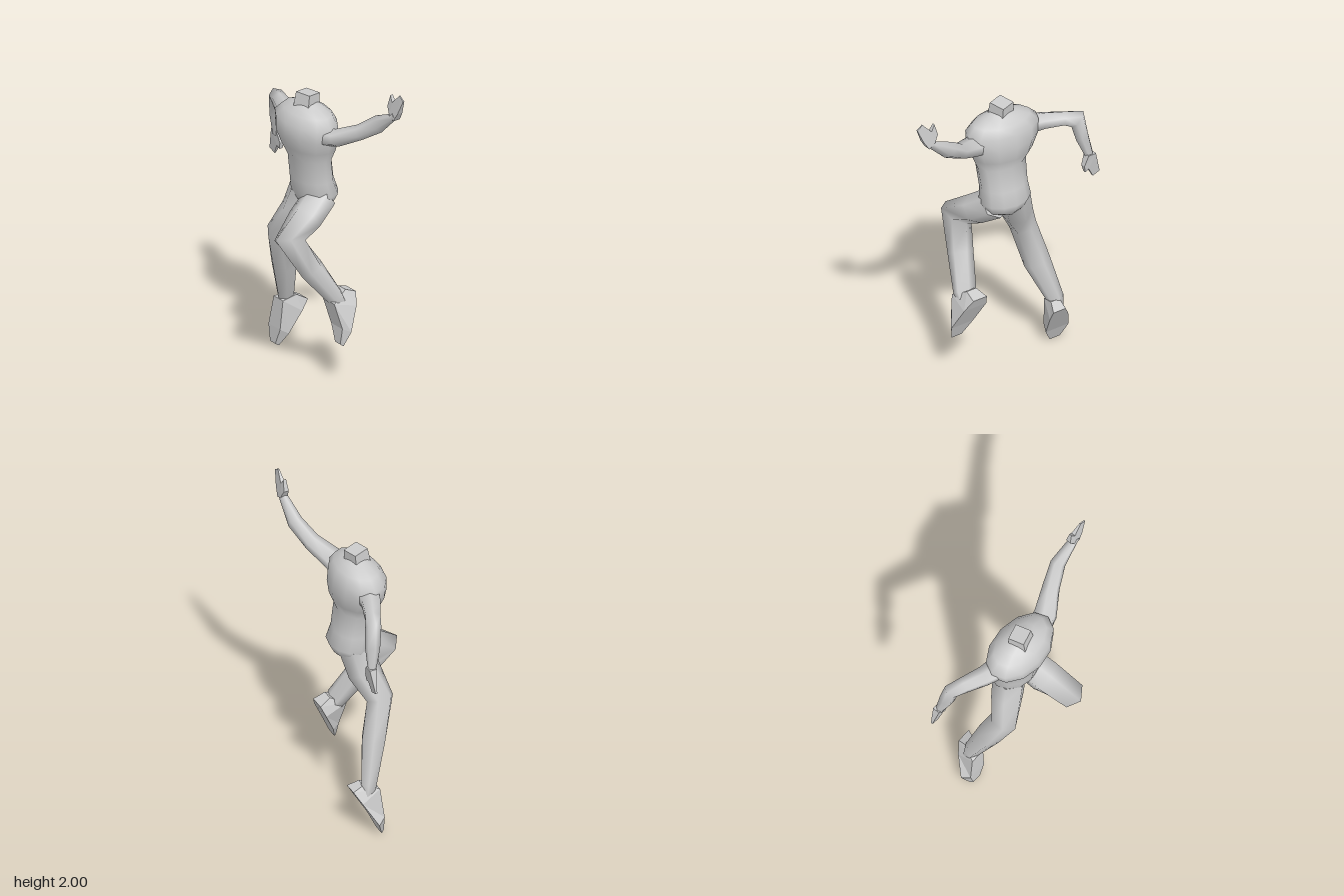
import * as THREE from 'three';

const V = (p) => new THREE.Vector3(...p);
const smooth = new THREE.MeshStandardMaterial({ color: 0xcccccc });
const faceted = new THREE.MeshStandardMaterial({ color: 0xcccccc, flatShading: true });

// Skin a list of rings (arrays of Vector3) and cap both ends
function loft(rings) {
  const n = rings[0].length, pos = [], idx = [];
  const push = (p) => pos.push(p.x, p.y, p.z) / 3 - 1;
  rings.forEach((r) => r.forEach(push));
  for (let i = 0; i < rings.length - 1; i++) {
    for (let j = 0; j < n; j++) {
      const a = i * n + j, b = i * n + (j + 1) % n;
      idx.push(a, b, a + n, b, b + n, a + n);
    }
  }
  [rings[0], rings[rings.length - 1]].forEach((r, end) => {
    const k = r.map(push);
    for (let j = 1; j < n - 1; j++) {
      if (end) idx.push(k[0], k[j], k[j + 1]);
      else idx.push(k[0], k[j + 1], k[j]);
    }
  });
  // Turn the faces outward if the enclosed volume is negative
  const at = (i) => new THREE.Vector3().fromArray(pos, i * 3);
  let volume = 0;
  for (let i = 0; i < idx.length; i += 3) {
    volume += at(idx[i]).dot(at(idx[i + 1]).cross(at(idx[i + 2])));
  }
  if (volume < 0) idx.reverse();
  const g = new THREE.BufferGeometry();
  g.setAttribute('position', new THREE.Float32BufferAttribute(pos, 3));
  g.setIndex(idx);
  g.computeVertexNormals();
  return g;
}

// Six-sided limb along stations [x, y, z, half size along ref, half size across]
function limb(stations, ref) {
  const c = stations.map(V3 => V(V3.slice(0, 3)));
  return loft(stations.map(([, , , hs, hd], i) => {
    const t = new THREE.Vector3();
    if (i > 0) t.add(c[i].clone().sub(c[i - 1]).normalize());
    if (i < c.length - 1) t.add(c[i + 1].clone().sub(c[i]).normalize());
    t.normalize();
    const s = ref.clone().addScaledVector(t, -ref.dot(t)).normalize();
    const d = t.clone().cross(s);
    return Array.from({ length: 6 }, (_, j) => {
      const a = (j / 6) * Math.PI * 2;
      return c[i].clone().addScaledVector(d, hd * Math.cos(a)).addScaledVector(s, hs * Math.sin(a) / 0.866);
    });
  }));
}

// Foot from heel to toe: [sole point, top point, half width]
function foot(sections) {
  return loft(sections.map(([sole, top, w]) => [[sole, w], [top, w * 0.7], [top, -w * 0.7], [sole, -w]]
    .map(([p, dx]) => V([p[0] + dx, p[1], p[2]]))));
}

// Flat mitten with thumb, thinning from the wrist to the fingertips
function hand(outline, z, wrist) {
  const g = new THREE.ExtrudeGeometry(new THREE.Shape(outline.map((p) => new THREE.Vector2(...p))),
    { depth: 1, bevelEnabled: false });
  const p = g.attributes.position;
  for (let i = 0; i < p.count; i++) {
    const far = Math.hypot(p.getX(i) - wrist[0], p.getY(i) - wrist[1]);
    p.setZ(i, z + (p.getZ(i) - 0.5) * Math.max(0.008, 0.055 - 0.27 * far));
  }
  g.computeVertexNormals();
  return g;
}

export function createModel() {
  const group = new THREE.Group();
  const add = (name, geometry, material = smooth) => {
    const m = new THREE.Mesh(geometry, material);
    m.name = name;
    group.add(m);
    return m;
  };
  const X = new THREE.Vector3(1, 0, 0), Z = new THREE.Vector3(0, 0, 1);

  // Torso sections: y, right edge, left edge, back, front
  const torso = [
    [1.07, -0.12, -0.02, -0.2, -0.06],
    [1.1, -0.21, 0.07, -0.225, -0.02],
    [1.16, -0.24, 0.1, -0.255, 0.005],
    [1.25, -0.23, 0.085, -0.225, 0.015],
    [1.4, -0.235, 0.1, -0.2, 0.03],
    [1.47, -0.28, 0.13, -0.23, 0.06],
    [1.555, -0.325, 0.16, -0.24, 0.085],
    [1.64, -0.335, 0.165, -0.23, 0.08],
    [1.695, -0.275, 0.12, -0.2, 0.04],
    [1.725, -0.2, 0.04, -0.16, 0],
    [1.745, -0.14, -0.01, -0.13, -0.025],
  ];
  add('torso', loft(torso.map(([y, x0, x1, z0, z1]) => Array.from({ length: 12 }, (_, j) => {
    const a = (j / 12) * Math.PI * 2;
    return V([(x0 + x1) / 2 + (x1 - x0) / 2 * Math.sin(a), y, (z0 + z1) / 2 + (z1 - z0) / 2 * Math.cos(a)]);
  }))));

  // Square neck stump
  const neck = add('neck', new THREE.CylinderGeometry(0.072, 0.082, 0.12, 4), faceted);
  neck.position.set(-0.078, 1.745, -0.075);
  neck.rotation.set(-0.12, Math.PI / 4 + 0.29, 0);

  // Legs
  add('leftLeg', limb([
    [0.0, 1.14, -0.12, 0.09, 0.1],
    [0.035, 1.04, 0.02, 0.095, 0.095],
    [0.08, 0.95, 0.165, 0.082, 0.11],
    [0.135, 0.75, 0.045, 0.068, 0.078],
    [0.195, 0.56, -0.08, 0.065, 0.055],
    [0.205, 0.5, -0.115, 0.05, 0.04],
  ], X));
  add('rightLeg', limb([
    [-0.14, 1.14, -0.11, 0.09, 0.11],
    [-0.19, 0.99, -0.08, 0.085, 0.105],
    [-0.28, 0.83, -0.02, 0.07, 0.087],
    [-0.335, 0.58, -0.09, 0.073, 0.078],
    [-0.415, 0.33, -0.16, 0.048, 0.052],
    [-0.42, 0.25, -0.175, 0.04, 0.035],
  ], X));

  // Feet, toes pointing down
  add('leftFoot', foot([
    [[0.18, 0.57, -0.215], [0.19, 0.6, -0.14], 0.05],
    [[0.195, 0.5, -0.185], [0.2, 0.54, -0.035], 0.083],
    [[0.24, 0.36, -0.115], [0.235, 0.38, -0.07], 0.082],
    [[0.255, 0.265, -0.078], [0.25, 0.275, -0.065], 0.037],
  ]), faceted);
  add('rightFoot', foot([
    [[-0.375, 0.3, -0.265], [-0.39, 0.335, -0.2], 0.045],
    [[-0.4, 0.23, -0.225], [-0.42, 0.31, -0.11], 0.068],
    [[-0.445, 0.09, -0.145], [-0.44, 0.12, -0.095], 0.085],
    [[-0.452, 0.002, -0.11], [-0.45, 0.015, -0.09], 0.038],
  ]), faceted);

  // Arms
  add('leftArm', limb([
    [0.1, 1.575, -0.09, 0.07, 0.06],
    [0.18, 1.59, -0.11, 0.065, 0.055],
    [0.31, 1.655, -0.185, 0.048, 0.048],
    [0.43, 1.74, -0.238, 0.04, 0.054],
    [0.57, 1.835, -0.245, 0.025, 0.023],
    [0.595, 1.86, -0.245, 0.022, 0.023],
  ], Z));
  add('rightArm', limb([
    [-0.26, 1.585, -0.09, 0.065, 0.06],
    [-0.36, 1.585, -0.115, 0.055, 0.052],
    [-0.48, 1.58, -0.165, 0.045, 0.045],
    [-0.555, 1.565, -0.2, 0.042, 0.06],
    [-0.578, 1.44, -0.215, 0.04, 0.045],
    [-0.612, 1.32, -0.235, 0.023, 0.03],
    [-0.615, 1.29, -0.237, 0.02, 0.025],
  ], Z));

  // Hands
  add('leftHand', hand([[0.56, 1.845], [0.6, 1.825], [0.635, 1.88], [0.675, 1.975], [0.635, 2],
    [0.575, 1.935], [0.55, 1.975], [0.53, 1.9]], -0.247, [0.58, 1.835]), faceted);
  add('rightHand', hand([[-0.645, 1.32], [-0.685, 1.175], [-0.635, 1.155], [-0.6, 1.22],
    [-0.575, 1.205], [-0.565, 1.25], [-0.59, 1.32]], -0.242, [-0.615, 1.32]), faceted);

  return group;
}
